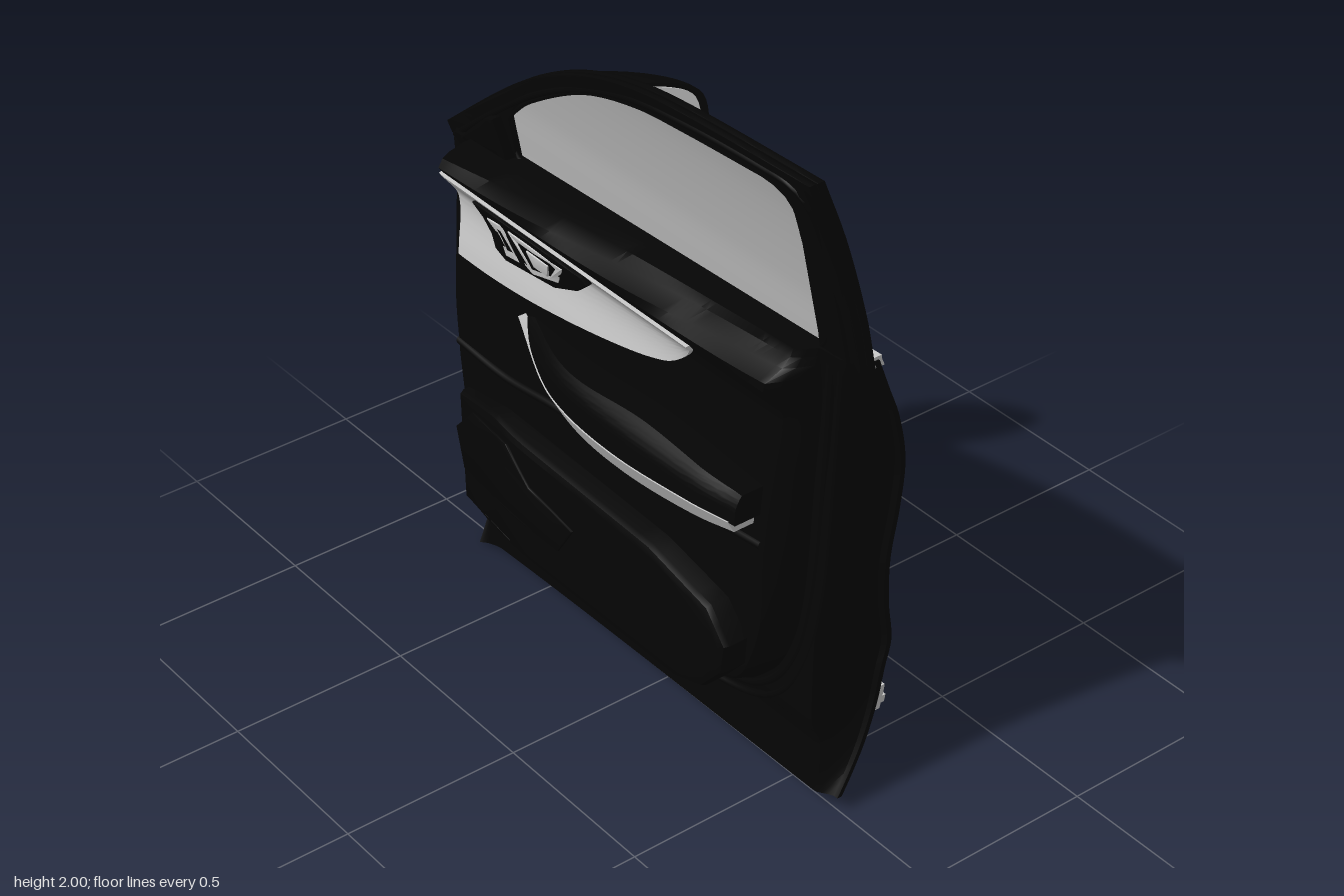
import * as THREE from 'three';
import { toCreasedNormals } from 'three/addons/utils/BufferGeometryUtils.js';

const black = new THREE.MeshStandardMaterial({ color: 0x050505, side: THREE.DoubleSide });
const grey = new THREE.MeshStandardMaterial({ color: 0xcccccc, side: THREE.DoubleSide });
const mix = THREE.MathUtils.lerp;
const ease = THREE.MathUtils.smoothstep;

// Smooth function through [t, value] pairs, clamped at both ends
function curve(...p) {
  const slope = (i) => {
    const a = p[Math.max(i - 1, 0)], b = p[Math.min(i + 1, p.length - 1)];
    return (b[1] - a[1]) / (b[0] - a[0]);
  };
  return (t) => {
    if (t <= p[0][0]) return p[0][1];
    for (let i = 0; i < p.length - 1; i++) {
      if (t > p[i + 1][0]) continue;
      const h = p[i + 1][0] - p[i][0], s = (t - p[i][0]) / h, s2 = s * s, s3 = s2 * s;
      return (2 * s3 - 3 * s2 + 1) * p[i][1] + (s3 - 2 * s2 + s) * h * slope(i)
        + (3 * s2 - 2 * s3) * p[i + 1][1] + (s3 - s2) * h * slope(i + 1);
    }
    return p[p.length - 1][1];
  };
}

// Skin over a stack of closed loops
function loft(loops) {
  const n = loops[0].length, index = [];
  for (let j = 0; j < loops.length - 1; j++)
    for (let i = 0; i < n; i++) {
      const a = j * n + i, b = j * n + (i + 1) % n;
      index.push(a, b, b + n, a, b + n, a + n);
    }
  const g = new THREE.BufferGeometry();
  g.setAttribute('position', new THREE.Float32BufferAttribute(loops.flat(2), 3));
  g.setIndex(index);
  return toCreasedNormals(g, 0.6);
}

// Curved sheet with thickness: side edges by height, lower and upper edges by x
function slab({ L, R, y0, y1, bot, top, zf, zb, nu = 40, nv = 30 }) {
  const loops = [];
  for (let j = 0; j <= nv; j++) {
    const v = j / nv, y = mix(y0, y1, v), front = [], back = [], mid = [], midBack = [];
    for (let i = 0; i <= nu; i++) {
      const x = mix(L(y), R(y), i / nu), py = mix(bot(x), top(x), v);
      const f = zf(x, py), b = zb(x, py);
      front.push([x, py, f]);
      back.unshift([x, py, b]);
      mid.push([x, py, (f + b) / 2]);
      midBack.unshift([x, py, (f + b) / 2]);
    }
    if (j === 0) loops.push([...mid, ...midBack]);
    loops.push([...front, ...back]);
    if (j === nv) loops.push([...mid, ...midBack]);
  }
  return loft(loops);
}

// Extruded outline (with optional holes) laid onto the surface z(x, y)
function plate(points, z, depth, bevel = 0.004, holes = []) {
  const dense = (pts) => pts.flatMap((p, i) => {
    const q = pts[(i + 1) % pts.length];
    const n = Math.max(1, Math.ceil(Math.hypot(q[0] - p[0], q[1] - p[1]) / 0.05));
    return Array.from({ length: n }, (_, k) => new THREE.Vector2(mix(p[0], q[0], k / n), mix(p[1], q[1], k / n)));
  });
  const s = new THREE.Shape(dense(points));
  s.holes = holes.map((h) => new THREE.Path(dense(h)));
  const g = new THREE.ExtrudeGeometry(s, { depth, bevelThickness: bevel, bevelSize: bevel, bevelSegments: 2 });
  const a = g.attributes.position;
  for (let i = 0; i < a.count; i++) a.setZ(i, a.getZ(i) + z(a.getX(i), a.getY(i)));
  return toCreasedNormals(g, 0.6);
}

const tube = (pts, r, closed = false) => new THREE.TubeGeometry(
  new THREE.CatmullRomCurve3(pts.map((p) => new THREE.Vector3(...p)), closed, 'centripetal'), 90, r, 8, closed);

// Outlines and section profiles of the door
const doorL = curve([0, -0.78], [0.25, -0.83], [0.55, -0.87], [0.8, -0.885], [1.05, -0.875], [1.25, -0.86], [1.3, -0.845]);
const doorR = curve([0.05, 0.683], [0.3, 0.687], [0.6, 0.70], [0.9, 0.73], [1.2, 0.765], [1.4, 0.79]);
const belt = (x) => mix(1.33, 1.39, (x + 0.53) / 1.18);
const outerZ = curve([0, 0.03], [0.06, -0.008], [0.12, -0.04], [0.2, -0.075], [0.3, -0.105], [0.4, -0.122], [0.48, -0.137],
  [0.6, -0.118], [0.75, -0.105], [0.9, -0.112], [1.05, -0.107], [1.2, -0.065], [1.3, -0.02], [1.4, 0.025]);
const innerZ = curve([0, 0.04], [0.2, 0.03], [0.28, 0.06], [1.2, 0.06], [1.4, 0.09]);
const glassZ = curve([1.25, 0.0], [1.4, 0.045], [1.55, 0.092], [1.8, 0.19], [2, 0.285]);
const trimZ = curve([0.24, 0.08], [0.33, 0.14], [0.62, 0.16], [0.8, 0.17], [1.05, 0.15], [1.2, 0.145],
  [1.28, 0.2], [1.315, 0.215], [1.35, 0.15], [1.4, 0.13]);
const trimL = curve([0.25, -0.58], [0.3, -0.66], [0.4, -0.69], [1.4, -0.69]);
const trimR = curve([0.25, 0.3], [0.3, 0.42], [0.4, 0.52], [0.6, 0.59], [1, 0.62], [1.4, 0.66]);
const trimSurface = (x, y) => mix(0.07, trimZ(y), ease(Math.min(x - trimL(y), trimR(y) - x), -0.02, 0.04));
const roof = [[-0.845, 1.29], [-0.53, 1.53], [-0.3, 1.69], [-0.05, 1.83], [0.2, 1.928], [0.45, 1.972], [0.878, 1.996]];
const windowTop = [[-0.5, 1.48], [-0.35, 1.6], [-0.05, 1.78], [0.2, 1.87], [0.4, 1.9], [0.7, 1.925]];
const glassTop = [[-0.52, 1.49], [-0.35, 1.62], [-0.05, 1.797], [0.2, 1.896], [0.45, 1.943], [0.77, 1.965]];

export function createModel() {
  const door = new THREE.Group();
  door.name = 'carDoor';
  const add = (name, geometry, material = black, parent = door) => {
    const m = new THREE.Mesh(geometry, material);
    m.name = name;
    parent.add(m);
    return m;
  };

  // Door body: thin outer skin at the edges, thick box further in
  add('doorBody', slab({
    L: doorL, R: doorR, y0: 0, y1: 1.4, nu: 110, nv: 48,
    bot: curve([-0.78, 0], [-0.68, 0.03], [0.68, 0.05]), top: (x) => mix(1.29, 1.4, (x + 0.845) / 1.63),
    zb: (x, y) => outerZ(y),
    zf: (x, y) => mix(outerZ(y) + 0.014, Math.max(outerZ(y) + 0.014, innerZ(y)),
      ease(Math.min(x - doorL(y), doorR(y) - x), 0.01, 0.06)),
  }));

  // Window frame: slim outer ring, wider inner ring, glass between them
  const sample = (pts) => new THREE.SplineCurve(pts.map((p) => new THREE.Vector2(...p))).getPoints(40).map((p) => [p.x, p.y]);
  const hole = [[-0.53, belt(-0.53)], ...sample(windowTop), [0.745, 1.905], [0.757, 1.87], [0.735, 1.77], [0.65, 1.39]];
  const outerHole = [[-0.54, belt(-0.54)], ...sample(glassTop), [0.797, 1.955], [0.655, 1.39]];
  const frame = [...sample(roof), [0.787, 1.385], [0.65, 1.35], [-0.53, 1.29], [-0.84, 1.26]];
  add('outerFrame', plate(frame, (x, y) => glassZ(y), 0.014, 0.004, [outerHole]));
  add('innerFrame', plate(frame, (x, y) => glassZ(y) + 0.024, 0.012, 0.004, [hole]));
  add('windowGlass', slab({
    L: curve([1.33, -0.55], [1.96, -0.53]), R: curve([1.33, 0.67], [1.96, 0.815]), y0: 1.33, y1: 1.96,
    bot: (x) => belt(x) - 0.03, top: curve(...glassTop.map(([x, y]) => [x, y + 0.01])),
    zf: (x, y) => glassZ(y) + 0.021, zb: (x, y) => glassZ(y) + 0.015,
  }), grey);
  add('windowSeal', tube(hole.map(([x, y]) => [x, y, glassZ(y) + 0.034]), 0.007, true));
  const seal = [...roof.slice(0, -1).map(([x, y]) => [x + 0.02, y - 0.03]), [0.7, 1.958], [0.8, 1.955], [0.83, 1.92], [0.8, 1.7], [0.75, 1.4]];
  add('frameSeal', tube(seal.map(([x, y]) => [x, y, glassZ(y) + 0.038]), 0.009));
  add('sailCover', plate([[-0.74, 1.3], [-0.57, 1.44], [-0.545, 1.45], [-0.545, 1.33]], (x, y) => glassZ(y) + 0.035, 0.025, 0.008));
  add('beltMoulding', slab({
    L: () => -0.53, R: () => 0.785, y0: 0, y1: 1, nv: 4,
    bot: (x) => belt(x) - 0.018, top: (x) => belt(x) + 0.012,
    zf: (x, y) => glassZ(y) + 0.012, zb: (x, y) => outerZ(y) - 0.01,
  }), grey);

  // Inner trim panel and the seals round it
  add('trimPanel', slab({
    L: trimL, R: trimR, y0: 0.25, y1: 1.38, bot: () => 0.25, top: belt, nu: 70, nv: 50, zf: trimSurface, zb: () => 0.02,
  }));
  for (const [o, r] of [[0.025, 0.013], [0.06, 0.01]])
    add('doorSeal', tube([[-0.7 - o, 1.27, 0.055], [-0.7 - o, 0.5, 0.055], [-0.68 - o, 0.33, 0.055], [-0.58, 0.25 - o, 0.042],
      [0.3, 0.25 - o, 0.042], [0.44 + o, 0.32 - o / 2, 0.055], [0.54 + o, 0.45, 0.055], [0.59 + o, 0.65, 0.055],
      [0.62 + o, 1, 0.055], [0.66 + o, 1.36, 0.075]], r));

  // Light decor panel with the release handle
  add('decorPanel', slab({
    L: () => -0.68, R: () => 0.29, y0: 0, y1: 1,
    bot: curve([-0.68, 1.03], [-0.5, 1.03], [-0.3, 1.045], [0, 1.09], [0.18, 1.135], [0.25, 1.18], [0.29, 1.225]),
    top: curve([-0.68, 1.285], [-0.5, 1.28], [0.29, 1.24]),
    zf: (x, y) => trimSurface(x, y) + 0.012, zb: (x, y) => trimSurface(x, y) - 0.02,
  }), grey);
  const handleZ = (x, y) => 0.168 + Math.max(0, y - 1.2) * 0.45;
  add('handleBezel', plate([[-0.51, 1.265], [-0.08, 1.255], [-0.07, 1.24], [-0.13, 1.19], [-0.22, 1.155], [-0.42, 1.135], [-0.46, 1.15]], handleZ, 0.012));
  add('switchSurround', plate([[-0.46, 1.24], [-0.41, 1.245], [-0.36, 1.16], [-0.41, 1.155]], handleZ, 0.018, 0.003,
    [[[-0.435, 1.225], [-0.415, 1.225], [-0.385, 1.175], [-0.405, 1.172]]]), grey);
  add('handleSurround', plate([[-0.37, 1.245], [-0.16, 1.24], [-0.2, 1.18], [-0.3, 1.155], [-0.33, 1.165]], handleZ, 0.018, 0.003,
    [[[-0.345, 1.23], [-0.19, 1.225], [-0.22, 1.19], [-0.3, 1.17]]]), grey);
  add('releaseHandle', plate([[-0.3, 1.22], [-0.22, 1.22], [-0.235, 1.185], [-0.285, 1.185]], handleZ, 0.024), grey);

  // Armrest and its bright lower strip
  const armZ = curve([-0.38, 0.175], [-0.15, 0.245], [0.1, 0.265], [0.4, 0.26], [0.54, 0.24]);
  const stripTop = curve([-0.38, 0.987], [-0.25, 0.915], [-0.15, 0.89], [0.1, 0.88], [0.4, 0.9], [0.53, 0.905]);
  add('armrest', slab({
    L: () => -0.37, R: () => 0.55, y0: 0, y1: 1,
    bot: (x) => stripTop(x) - 0.003, top: curve([-0.37, 0.995], [-0.1, 0.985], [0.2, 1.0], [0.55, 0.98]),
    zf: (x, y) => armZ(x) - 8 * Math.max(0, y - 0.93) ** 2, zb: () => 0.1,
  }));
  add('armrestStrip', slab({
    L: () => -0.38, R: () => 0.53, y0: 0, y1: 1, nv: 10,
    bot: curve([-0.38, 0.975], [-0.28, 0.89], [-0.17, 0.83], [0, 0.81], [0.3, 0.83], [0.53, 0.868]), top: stripTop,
    zf: (x, y) => armZ(x) + 0.004 - 0.55 * (stripTop(x) - y), zb: () => 0.14,
  }), grey);

  // Lower storage pocket, its speaker panel and a crease above
  const pocketZ = (x) => 0.1 - 0.03 * ease(-x, 0.3, 0.65);
  add('doorPocket', plate([[-0.6, 0.33], [-0.5, 0.32], [0.3, 0.32], [0.4, 0.35], [0.47, 0.43], [0.48, 0.5], [0.42, 0.57], [0.2, 0.62],
    [-0.45, 0.645], [-0.61, 0.62]], pocketZ, 0.11, 0.02));
  add('speakerPanel', plate([[-0.6, 0.42], [-0.16, 0.42], [-0.1, 0.51], [-0.28, 0.54], [-0.38, 0.62], [-0.55, 0.615], [-0.63, 0.53]],
    (x) => pocketZ(x) + 0.128, 0.004));
  add('trimCrease', tube([[-0.66, 0.77, 0.165], [-0.45, 0.765, 0.17], [-0.2, 0.79, 0.17], [0.25, 0.79, 0.17], [0.56, 0.82, 0.165]], 0.012));

  // Outside handle and lower bright moulding
  const recess = add('handleRecess', new THREE.SphereGeometry(1, 32, 16));
  recess.scale.set(0.16, 0.05, 0.012);
  recess.position.set(0.46, 1.08, -0.098);
  add('outerHandle', tube([[0.32, 1.08, -0.092], [0.37, 1.083, -0.11], [0.46, 1.087, -0.115], [0.55, 1.085, -0.11], [0.6, 1.08, -0.092]], 0.016));
  const sill = { R: () => 0.684, y0: 0, y1: 1, nv: 8, zf: (x, y) => outerZ(y) + 0.01 };
  const sillBot = curve([-0.6, 0.262], [0.684, 0.272]);
  add('sillMoulding', slab({
    ...sill, L: () => -0.6, bot: sillBot, zb: (x, y) => outerZ(y) - 0.016,
    top: curve([-0.6, 0.267], [-0.42, 0.312], [-0.27, 0.347], [-0.15, 0.342], [0.1, 0.332], [0.684, 0.34]),
  }), grey);
  add('sillRidge', slab({
    ...sill, L: () => -0.45, bot: (x) => sillBot(x) + 0.015, top: (x) => sillBot(x) + 0.035, zb: (x, y) => outerZ(y) - 0.026,
  }), grey);

  // Door mirror: boxy housing swept forward from its rear rim
  const mirror = new THREE.Group();
  mirror.name = 'doorMirror';
  door.add(mirror);
  const rim = new THREE.CatmullRomCurve3([[-0.03, 1.53], [-0.1, 1.555], [-0.24, 1.545], [-0.3, 1.515], [-0.318, 1.43], [-0.295, 1.36],
    [-0.2, 1.325], [-0.06, 1.312], [-0.025, 1.35], [-0.012, 1.45]].map(([z, y]) => new THREE.Vector3(0, y, z)), true).getPoints(48).slice(0, 48);
  const mid = [-0.165, 1.432];
  const shell = (p, s, t) => {
    const z = mix(mid[0], p.z, s), y = mix(mid[1], p.y, s);
    return [-0.38 - (z + 0.03) * 0.46 - t * mix(0.21, 0.1, Math.min(1, -z / 0.31)), y, z];
  };
  const dome = (a) => [Math.cos(a) ** 0.36, Math.sin(a) ** 0.9];
  const ring = (s, t) => rim.map((p) => shell(p, s, t));
  const sweep = Array.from({ length: 17 }, (_, k) => ring(...dome(k * Math.PI / 32.01)));
  add('mirrorHousing', loft([ring(0, 0.08), ring(0.88, 0.08), ring(0.93, 0), ...sweep, ring(0, 1)]), black, mirror);
  add('mirrorGlass', loft([ring(0, 0.02), ring(0.89, 0.02), ring(0.89, 0.06)]), grey, mirror);
  const tip = new THREE.Vector3(0, 1.385, -0.312);
  add('mirrorIndicator', tube([0.2, 0.5, 0.8, 1.1, 1.35].map((a) => shell(tip, ...dome(a))), 0.008), grey, mirror);
  const foot = add('mirrorFoot', new THREE.SphereGeometry(1, 24, 16), black, mirror);
  foot.scale.set(0.11, 0.05, 0.055);
  foot.position.set(-0.48, 1.338, -0.045);

  return door;
}
